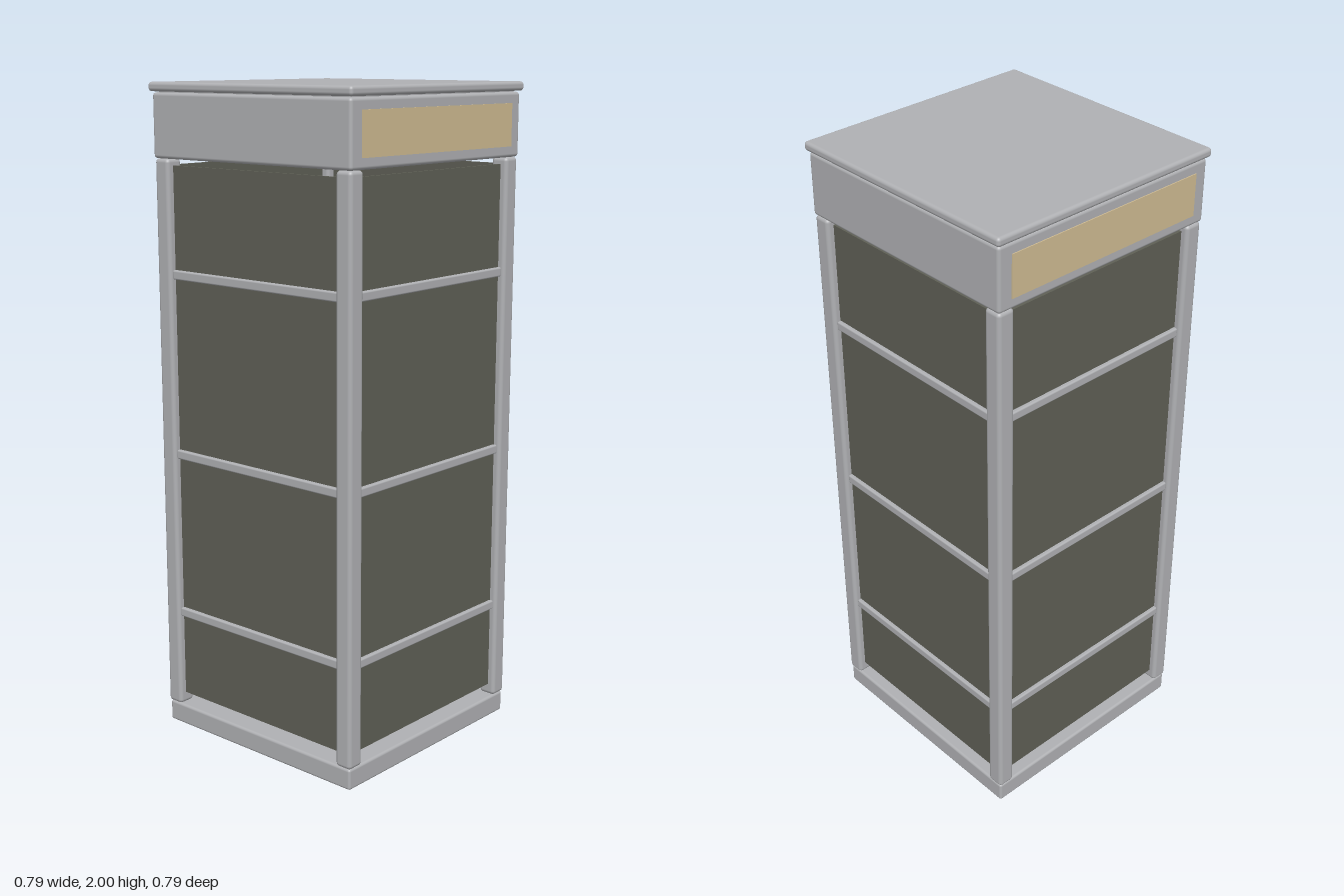
import * as THREE from 'three';
import { RoundedBoxGeometry } from 'three/addons/geometries/RoundedBoxGeometry.js';

const metal = new THREE.MeshStandardMaterial({ name: 'grey metal', color: 0xb0b1b4 });
const glass = new THREE.MeshStandardMaterial({ name: 'smoked glass', color: 0x5f6056 });
const sign = new THREE.MeshStandardMaterial({ name: 'cream sign', color: 0xd0bc92 });

// Rounded block given by its size, lower and upper height
function block(name, width, bottom, top, depth, radius, x = 0, z = 0) {
  const mesh = new THREE.Mesh(new RoundedBoxGeometry(width, top - bottom, depth, 3, radius), metal);
  mesh.name = name;
  mesh.position.set(x, (bottom + top) / 2, z);
  return mesh;
}

function plate(name, width, bottom, top, z, material) {
  const mesh = new THREE.Mesh(new THREE.BoxGeometry(width, top - bottom, 0.008), material);
  mesh.name = name;
  mesh.position.set(0, (bottom + top) / 2, z);
  return mesh;
}

export function createModel() {
  const booth = new THREE.Group();
  booth.name = 'glazedBooth';

  // Base, header box and overhanging roof
  booth.add(
    block('base', 0.756, 0, 0.065, 0.756, 0.008),
    block('header', 0.768, 1.78, 1.97, 0.768, 0.01),
    block('roof', 0.786, 1.973, 2, 0.786, 0.01),
    block('roofJoint', 0.74, 1.96, 1.985, 0.74, 0.004),
  );

  // Corner posts
  for (const x of [-1, 1]) {
    for (const z of [-1, 1]) {
      booth.add(block('cornerPost', 0.056, 0.065, 1.78, 0.056, 0.012, x * 0.354, z * 0.354));
    }
  }

  // Four glazed sides, each with three crossbars
  for (let i = 0; i < 4; i++) {
    const side = new THREE.Group();
    side.name = 'glazedSide';
    side.rotation.y = i * Math.PI / 2;
    side.add(plate('glassPane', 0.655, 0.1, 1.76, 0.356, glass));
    for (const y of [0.374, 0.885, 1.438]) {
      side.add(block('crossbar', 0.655, y - 0.014, y + 0.014, 0.03, 0.005, 0, 0.357));
    }
    // Lit sign on the front and back only
    if (i % 2 === 0) side.add(plate('signPanel', 0.68, 1.812, 1.938, 0.383, sign));
    booth.add(side);
  }
  return booth;
}
